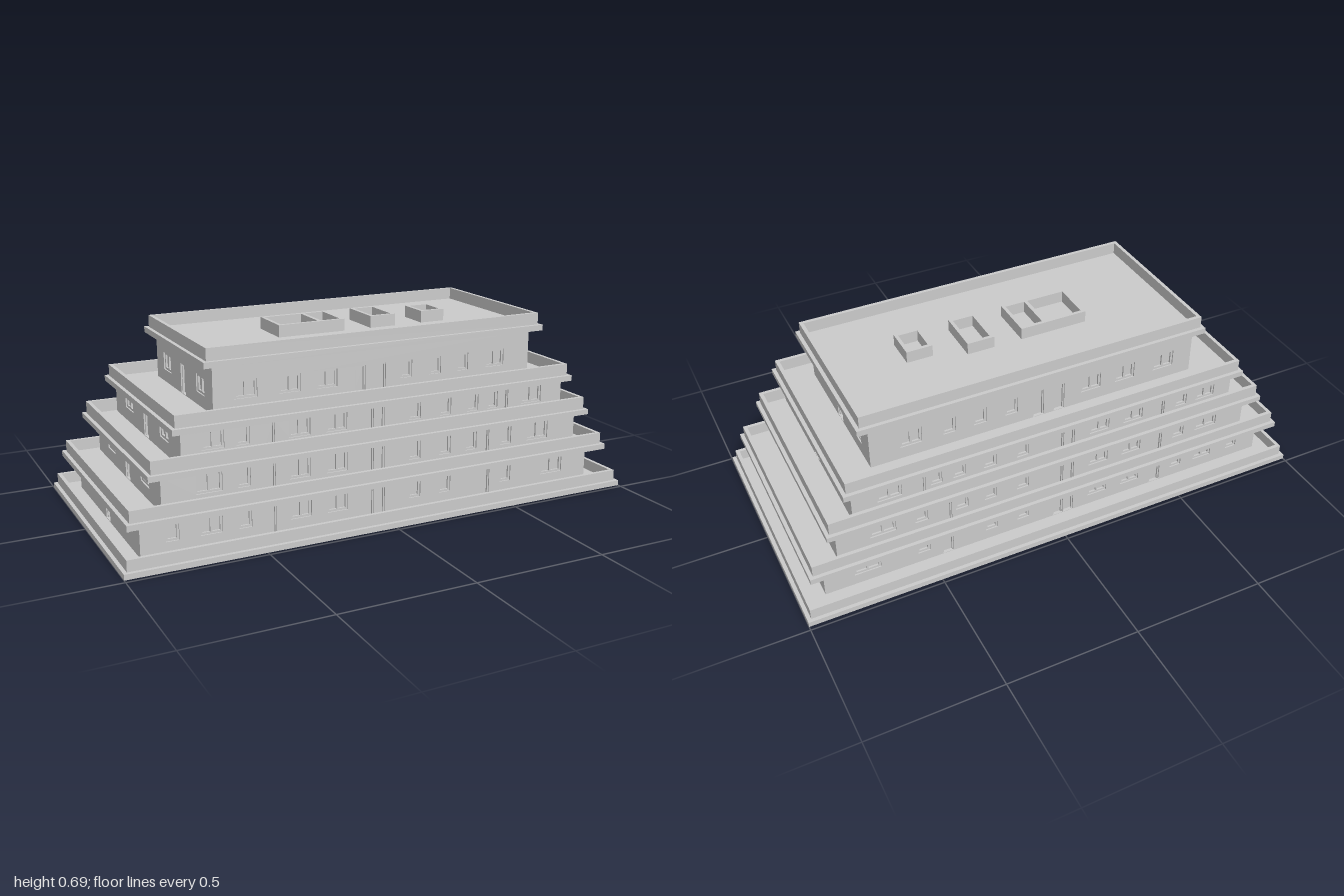
import * as THREE from 'three';
import { mergeGeometries } from 'three/addons/utils/BufferGeometryUtils.js';

const mat = new THREE.MeshStandardMaterial({ color: 0xcccccc, flatShading: true });
const WALL = 0.02;

function add(parent, name, geometry) {
  const mesh = new THREE.Mesh(geometry, mat);
  mesh.name = name;
  parent.add(mesh);
  return mesh;
}

// Box given by its extents
function block(x0, x1, y0, y1, z0, z1) {
  return new THREE.BoxGeometry(x1 - x0, y1 - y0, z1 - z0)
    .translate((x0 + x1) / 2, (y0 + y1) / 2, (z0 + z1) / 2);
}

function rect(Type, x0, x1, y0, y1) {
  const p = new Type();
  p.moveTo(x0, y0);
  p.lineTo(x1, y0);
  p.lineTo(x1, y1);
  p.lineTo(x0, y1);
  p.closePath();
  return p;
}

// Open rectangular rim standing on a deck
function rim(x0, x1, y0, y1, z0, z1, t) {
  const shape = rect(THREE.Shape, x0, x1, -z1, -z0);
  shape.holes.push(rect(THREE.Path, x0 + t, x1 - t, -z1 + t, -z0 - t));
  return new THREE.ExtrudeGeometry(shape, { depth: y1 - y0, bevelEnabled: false })
    .rotateX(-Math.PI / 2).translate(0, y0, 0);
}

// Recessed pane with frame; wide windows get a centre mullion
function joinery(x0, x1, y0, y1, door) {
  const f = door ? 0.005 : 0.008, zi = -0.013, zo = -0.005;
  const parts = [
    block(x0, x1, y0, y1, -0.018, -0.012),
    block(x0, x0 + f, y0, y1, zi, zo),
    block(x1 - f, x1, y0, y1, zi, zo),
    block(x0 + f, x1 - f, y1 - f, y1, zi, zo),
  ];
  if (!door) parts.push(block(x0 + f, x1 - f, y0, y0 + f, zi, zo));
  if (x1 - x0 > 0.07) {
    const c = (x0 + x1) / 2;
    parts.push(block(c - 0.004, c + 0.004, y0 + f, y1 - f, zi, zo));
  }
  return mergeGeometries(parts);
}

// Pierced wall; outer face lies on local z = 0. Openings: [x0, x1, isDoor]
function makeWall(name, x0, x1, level, openings) {
  const g = new THREE.Group();
  g.name = name;
  const shape = rect(THREE.Shape, x0, x1, level.deck, level.ceiling);
  for (const [a, b, door] of openings) {
    const bottom = door ? level.deck + 0.002 : level.sill;
    shape.holes.push(rect(THREE.Path, a, b, bottom, level.head));
    add(g, door ? 'door' : 'window', joinery(a, b, bottom, level.head, door));
  }
  add(g, 'wallPanel', new THREE.ExtrudeGeometry(shape, { depth: WALL, bevelEnabled: false })
    .translate(0, 0, -WALL));
  return g;
}

// Terraces: slab extents, slab bottom / top, parapet top; z extents are symmetric
const terraces = [
  { x: [-1, 1], z: 0.484, y: [0, 0.02, 0.061] },
  { x: [-0.97, 0.962], z: 0.434, y: [0.142, 0.163, 0.206] },
  { x: [-0.887, 0.883], z: 0.417, y: [0.29, 0.31, 0.357] },
  { x: [-0.795, 0.806], z: 0.402, y: [0.43, 0.451, 0.495] },
  { x: [-0.653, 0.715], z: 0.325, y: [0.621, 0.643, 0.688] },
];

// Storeys: wall extents, sill and head heights, openings along the front
const W = (c, w = 0.048) => [c - w / 2, c + w / 2, false];
const D = (c, w = 0.043) => [c - w / 2, c + w / 2, true];
const middle = [W(-0.54), D(-0.445), W(-0.33, 0.08), W(-0.187, 0.08),
  D(-0.062, 0.041), D(-0.018, 0.041), W(0.128), W(0.257)];
const sideLow = [W(0.206, 0.096), D(0, 0.052), W(-0.203, 0.096)];
const sideTop = [W(0.179, 0.083), D(0, 0.052), W(-0.177, 0.083)];
const storeys = [
  { x: [-0.915, 0.905], z: 0.385, sill: 0.062, head: 0.132, side: sideLow,
    front: [W(-0.802), W(-0.663, 0.08), ...middle, D(0.433), W(0.527), W(0.742, 0.1)] },
  { x: [-0.835, 0.845], z: 0.38, sill: 0.209, head: 0.286, side: sideLow,
    front: [W(-0.666, 0.095), ...middle, W(0.371), D(0.431, 0.04), W(0.527), W(0.672, 0.096)] },
  { x: [-0.76, 0.775], z: 0.377, sill: 0.359, head: 0.426, side: sideLow,
    front: [W(-0.647, 0.08), ...middle, W(0.375), W(0.463, 0.043), D(0.518, 0.028), W(0.637, 0.09)] },
  { x: [-0.615, 0.67], z: 0.299, sill: 0.497, head: 0.562, side: sideTop,
    front: [W(-0.495, 0.085), W(-0.33, 0.08), W(-0.187, 0.08), D(-0.056), D(0.027),
      W(0.134), W(0.257), W(0.375), W(0.518, 0.08)] },
];

export function createModel() {
  const model = new THREE.Group();
  model.name = 'terracedBuilding';

  // Slabs with set-back parapets
  terraces.forEach(({ x, z, y }, i) => {
    const last = i === terraces.length - 1;
    const inset = 0.014;
    add(model, last ? 'roofSlab' : 'terraceSlab', block(x[0], x[1], y[0], y[1], -z, z));
    add(model, last ? 'roofParapet' : 'terraceParapet',
      rim(x[0] + inset, x[1] - inset, y[1], y[2], -z + inset, z - inset, 0.014));
  });

  // Storeys, with openings repeated front to back and side to side
  storeys.forEach((s, i) => {
    const storey = new THREE.Group();
    storey.name = 'storey' + (i + 1);
    const level = { deck: terraces[i].y[1], ceiling: terraces[i + 1].y[0], sill: s.sill, head: s.head };
    const flip = (list) => list.map(([a, b, d]) => [-b, -a, d]);
    const zs = s.z - WALL;

    const front = makeWall('frontWall', s.x[0], s.x[1], level, s.front);
    front.position.z = s.z;
    const back = makeWall('backWall', -s.x[1], -s.x[0], level, flip(s.front));
    back.rotation.y = Math.PI;
    back.position.z = -s.z;
    const left = makeWall('leftWall', -zs, zs, level, flip(s.side));
    left.rotation.y = Math.PI / 2;
    left.position.x = s.x[1];
    const right = makeWall('rightWall', -zs, zs, level, s.side);
    right.rotation.y = -Math.PI / 2;
    right.position.x = s.x[0];

    storey.add(front, back, left, right);
    model.add(storey);
  });

  // Open shafts on the roof; the widest has a partition
  const [, roof, top] = terraces[4].y;
  for (const [x0, x1, z0] of [[-0.275, -0.01, -0.088], [0.1, 0.205, -0.088], [0.32, 0.42, 0.085 - 0.125]]) {
    add(model, 'roofShaft', rim(x0, x1, roof, top, z0, 0.083, 0.013));
  }
  add(model, 'shaftPartition', block(-0.114, -0.1, roof, top, -0.075, 0.07));

  return model;
}
